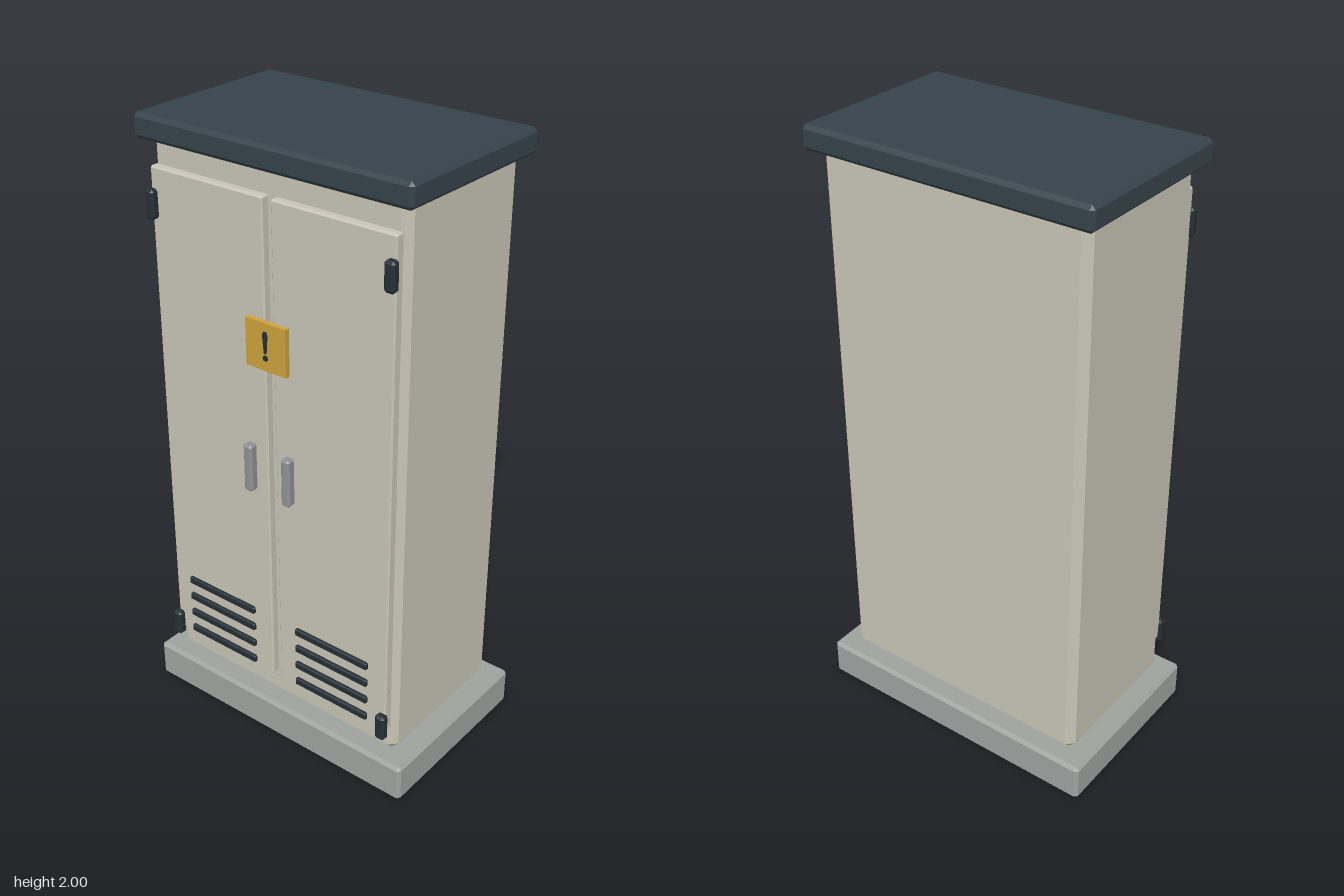
import * as THREE from 'three';
import { ConvexGeometry } from 'three/addons/geometries/ConvexGeometry.js';

const mat = (name, color) => {
  const m = new THREE.MeshStandardMaterial({ color });
  m.name = name;
  return m;
};

// Box with every edge chamfered by c, given by its minimum and maximum corners
function chamferBox(min, max, c) {
  const half = max.map((v, i) => (v - min[i]) / 2);
  const mid = max.map((v, i) => (v + min[i]) / 2);
  const points = [];
  for (const sx of [-1, 1]) for (const sy of [-1, 1]) for (const sz of [-1, 1]) {
    const s = [sx, sy, sz];
    for (let face = 0; face < 3; face++) {
      points.push(new THREE.Vector3(...s.map((d, i) => mid[i] + d * (half[i] - (i === face ? 0 : c)))));
    }
  }
  return new ConvexGeometry(points);
}

export function createModel() {
  const cabinetPaint = mat('cabinet beige', 0xc8c4b6);
  const roofPaint = mat('roof slate', 0x36434a);
  const darkMetal = mat('dark metal', 0x242f35);
  const concrete = mat('concrete grey', 0x9fa3a0);
  const steel = mat('handle steel', 0x8e9294);
  const signYellow = mat('sign yellow', 0xcda33c);

  const root = new THREE.Group();
  root.name = 'utilityCabinet';
  const add = (name, geometry, material, parent = root) => {
    const mesh = new THREE.Mesh(geometry, material);
    mesh.name = name;
    parent.add(mesh);
    return mesh;
  };
  const addBox = (name, min, max, c, material, parent) =>
    add(name, chamferBox(min, max, c), material, parent);

  // Plinth, body and overhanging roof
  addBox('plinth', [-0.51, 0, -0.314], [0.51, 0.13, 0.307], 0.011, concrete);
  addBox('body', [-0.452, 0.13, -0.263], [0.452, 1.96, 0.257], 0.025, cabinetPaint);
  addBox('roof', [-0.485, 1.924, -0.3], [0.485, 2, 0.293], 0.012, roofPaint);

  // Two mirrored doors with hinges, handle and vent slats
  for (const side of [-1, 1]) {
    const door = new THREE.Group();
    door.name = side > 0 ? 'leftDoor' : 'rightDoor';
    root.add(door);
    const part = (name, x0, x1, y0, y1, z0, z1, c, material) => {
      const [a, b] = side > 0 ? [x0, x1] : [-x1, -x0];
      addBox(name, [a, y0, z0], [b, y1, z1], c, material, door);
    };
    part('doorPanel', 0.015, 0.435, 0.226, 1.852, 0.25, 0.283, 0.005, cabinetPaint);
    part('handle', 0.056, 0.089, 0.918, 1.078, 0.281, 0.314, 0.007, steel);
    for (const y of [0.252, 1.742]) {
      part('hinge', 0.409, 0.444, y - 0.045, y + 0.045, 0.276, 0.307, 0.008, darkMetal);
    }
    for (let i = 0; i < 4; i++) {
      const y = 0.255 + i * 0.065;
      part('ventSlat', 0.085, 0.366, y - 0.013, y + 0.013, 0.279, 0.294, 0.004, darkMetal);
    }
  }

  // Warning sign bridging the doors
  const sign = new THREE.Group();
  sign.name = 'warningSign';
  root.add(sign);
  const plate = add('signPlate', new THREE.BoxGeometry(0.148, 0.15, 0.017), signYellow, sign);
  plate.position.set(0, 1.415, 0.2905);

  // Exclamation mark: tapered stroke and a dot
  const stroke = new THREE.Shape([
    [-0.004, 1.396], [0.004, 1.396], [0.009, 1.452], [0.005, 1.464], [-0.005, 1.464], [-0.009, 1.452],
  ].map(([x, y]) => new THREE.Vector2(x, y)));
  const strokeMesh = add('markStroke',
    new THREE.ExtrudeGeometry(stroke, { depth: 0.004, bevelEnabled: false }), darkMetal, sign);
  strokeMesh.position.z = 0.298;
  const dot = add('markDot', new THREE.CylinderGeometry(0.009, 0.009, 0.004, 12), darkMetal, sign);
  dot.rotation.x = Math.PI / 2;
  dot.position.set(0, 1.381, 0.3);

  return root;
}
